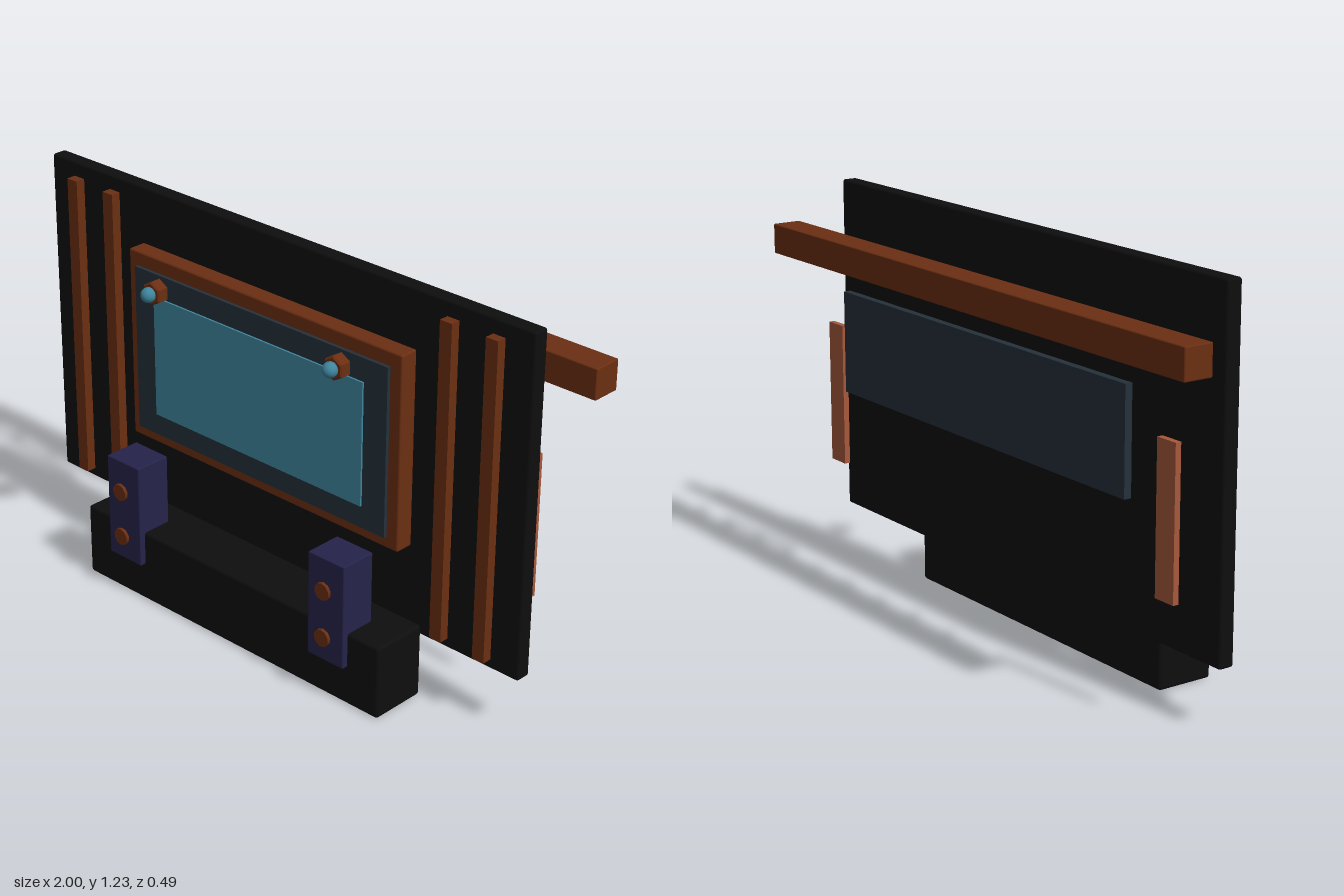
import * as THREE from 'three';
import { RoundedBoxGeometry } from 'three/addons/geometries/RoundedBoxGeometry.js';

const material = (name, color) => {
  const m = new THREE.MeshStandardMaterial({ color });
  m.name = name;
  return m;
};

export function createModel() {
  const model = new THREE.Group();
  model.name = 'wallConsole';

  const black = material('black', 0x0e0e0e);
  const brown = material('rust brown', 0x6b2e12);
  const slate = material('dark slate', 0x25303a);
  const blue = material('screen blue', 0x3f859d);
  const indigo = material('indigo', 0x25234a);
  const copper = material('copper', 0xa6593b);

  const add = (name, geometry, mat, x, y, z) => {
    const mesh = new THREE.Mesh(geometry, mat);
    mesh.name = name;
    mesh.position.set(x, y, z);
    model.add(mesh);
    return mesh;
  };
  // Box given by centre x, width, and y and z ranges; r rounds its edges
  const box = (name, mat, x, w, y0, y1, z0, z1, r = 0) => {
    const h = y1 - y0, d = z1 - z0;
    const geometry = r ? new RoundedBoxGeometry(w, h, d, 2, r) : new THREE.BoxGeometry(w, h, d);
    return add(name, geometry, mat, x, (y0 + y1) / 2, (z0 + z1) / 2);
  };

  // Main slab and base
  box('backPanel', black, 0, 1.84, 0.18, 1.225, -0.042, 0.007, 0.008);
  box('base', black, 0, 1.18, 0, 0.23, 0.026, 0.207, 0.01);

  // Front display
  box('displayFrame', brown, 0, 1.056, 0.452, 1.052, 0.007, 0.066, 0.006);
  box('displayBezel', slate, 0, 0.98, 0.49, 1.01, 0.069, 0.08);
  box('displayScreen', blue, 0, 0.814, 0.56, 0.94, 0.081, 0.087);

  // Rear rail and rear display
  box('rearRail', brown, 0, 2, 1.003, 1.095, -0.244, -0.153, 0.004);
  box('rearDisplay', slate, 0, 1.38, 0.616, 0.928, -0.184, -0.161);

  // Row of beads in front of the rail
  const bead = new THREE.SphereGeometry(0.018, 16, 12);
  for (let i = -4; i <= 4; i++) add('railBead', bead, brown, i * 0.1875, 1.05, -0.13);

  // Bevelled six-sided lamp socket and round bolt
  const socket = new THREE.LatheGeometry(
    [[0, -0.02], [0.032, -0.02], [0.037, -0.015], [0.037, 0.015], [0.032, 0.02], [0, 0.02]]
      .map(([r, y]) => new THREE.Vector2(r, y)), 6).toNonIndexed();
  socket.computeVertexNormals();
  socket.rotateX(Math.PI / 2);
  const bolt = new THREE.CylinderGeometry(0.027, 0.027, 0.01, 10).rotateX(Math.PI / 2);
  const bulb = new THREE.SphereGeometry(0.023, 20, 14);

  // Mirrored parts
  for (const s of [-1, 1]) {
    for (const x of [0.802, 0.648]) {
      box('verticalStrip', brown, s * x, 0.041, 0.21, 1.18, 0.006, 0.037);
    }
    box('rearStrip', copper, s * 0.81, 0.076, 0.36, 0.8, -0.143, -0.125);
    box('bracket', indigo, s * 0.409, 0.134, 0.123, 0.451, 0.108, 0.226, 0.004);
    for (const y of [0.205, 0.355]) add('bracketBolt', bolt, brown, s * 0.409, y, 0.239);
    add('lampSocket', socket, brown, s * 0.353, 0.985, 0.128);
    add('lampBulb', bulb, blue, s * 0.353, 0.985, 0.157);
  }

  return model;
}
